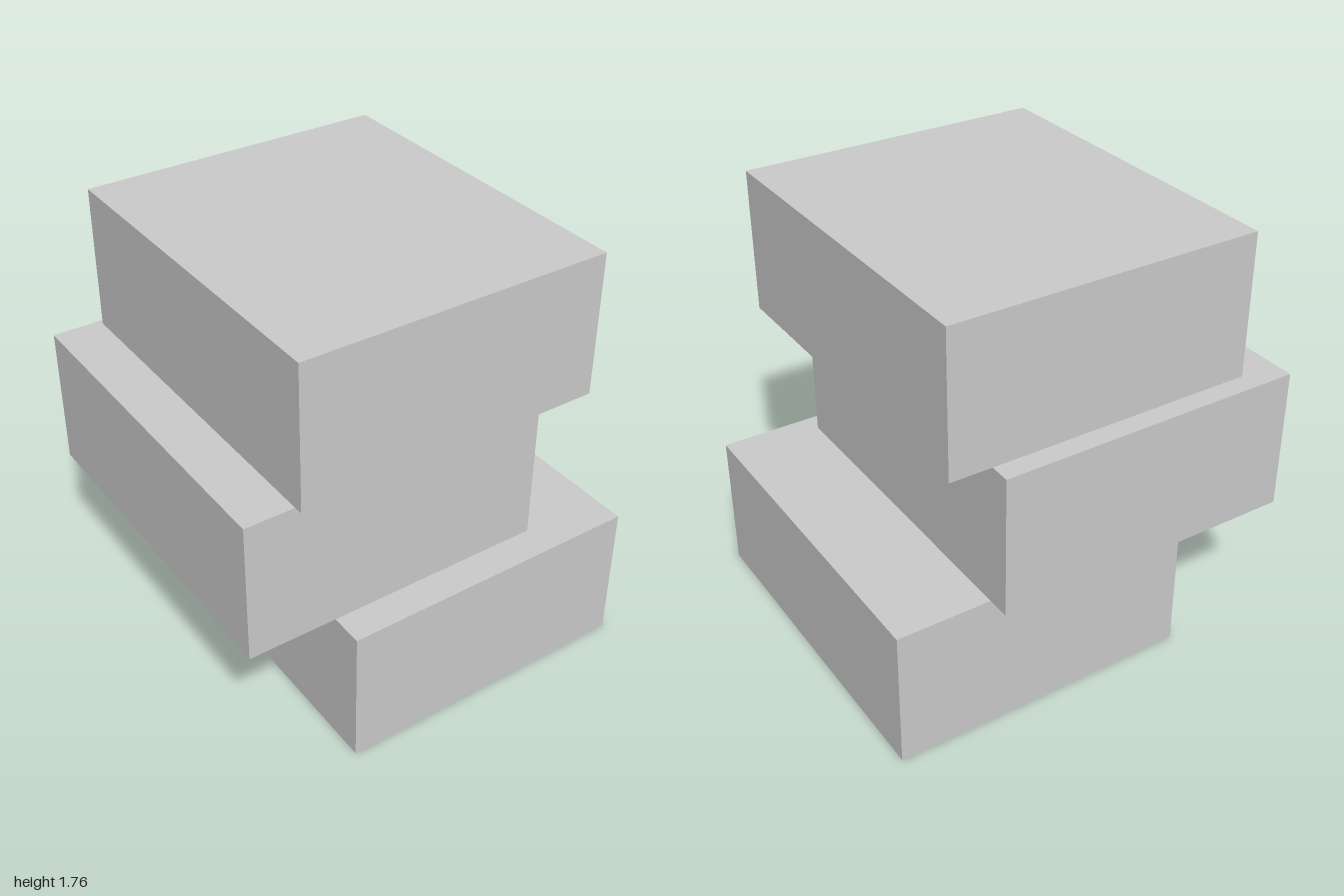
import * as THREE from 'three';

export function createModel() {
  const group = new THREE.Group();
  const material = new THREE.MeshStandardMaterial({ color: 0xcccccc, flatShading: true });

  // Three equal blocks, turned alike and shifted sideways, with a thin gap between them
  const height = 0.574, step = 0.595;
  const geometry = new THREE.BoxGeometry(1.242, height, 1.431);
  const blocks = [
    ['bottomBlock', 0.193],
    ['middleBlock', -0.193],
    ['topBlock', 0],
  ];
  blocks.forEach(([name, x], i) => {
    const block = new THREE.Mesh(geometry, material);
    block.name = name;
    block.position.set(x, height / 2 + i * step, 0);
    block.rotation.y = 0.304;
    group.add(block);
  });
  return group;
}
